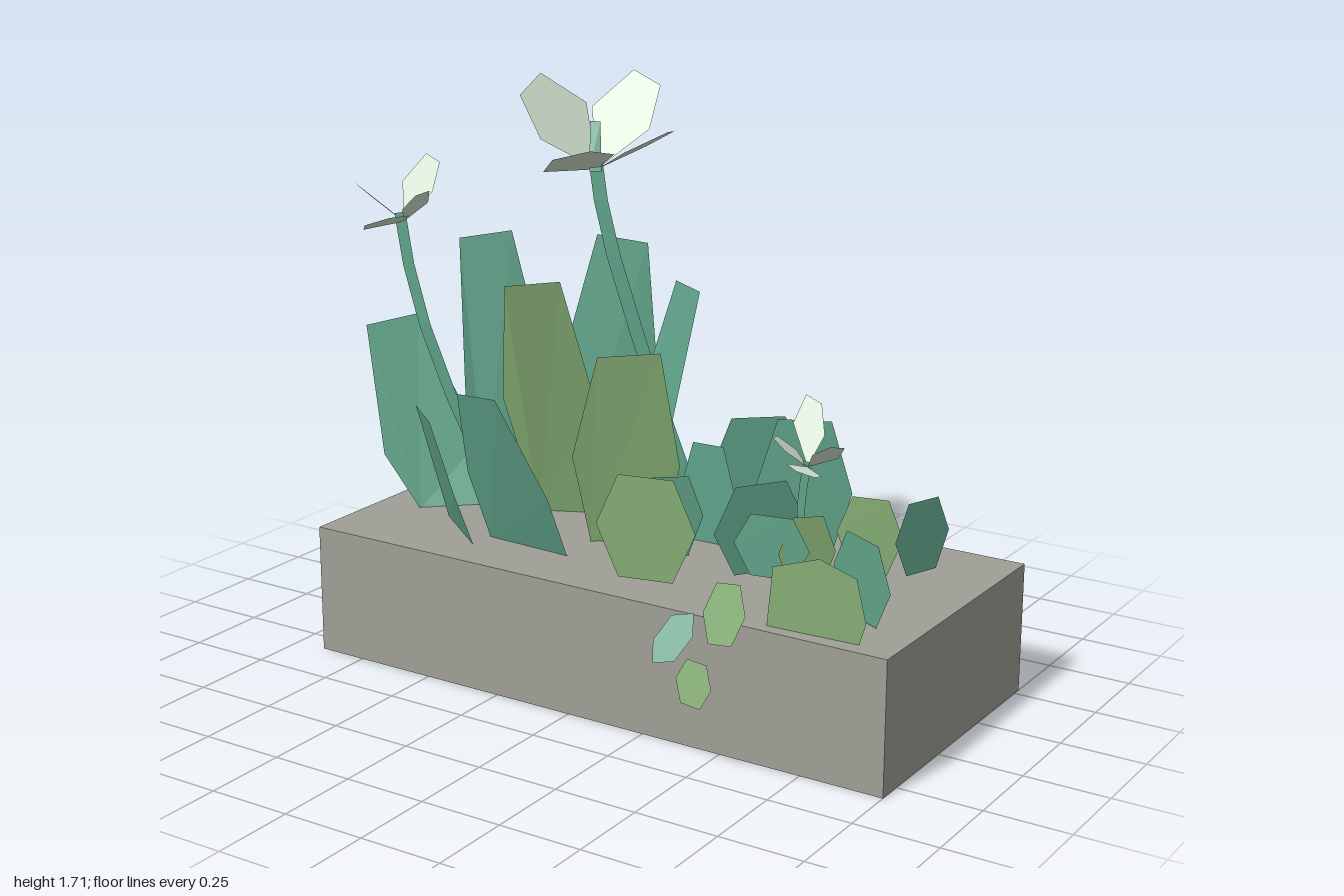
import * as THREE from 'three';

const paint = (name, color, side = THREE.DoubleSide) => {
  const m = new THREE.MeshStandardMaterial({ color, side });
  m.name = name;
  return m;
};

export function createModel() {
  const group = new THREE.Group();
  const stone = paint('stone grey', 0x9f9f97, THREE.FrontSide);
  const teal = paint('teal green', 0x60a389);
  const olive = paint('olive green', 0x85ad74);
  const white = paint('pale petal', 0xd9e8d5);

  // Flat polygon drawn as a fan of triangles
  const plate = (name, points, material, parent = group) => {
    const pos = [];
    for (let i = 1; i < points.length - 1; i++) pos.push(...points[0], ...points[i], ...points[i + 1]);
    const geo = new THREE.BufferGeometry();
    geo.setAttribute('position', new THREE.Float32BufferAttribute(pos, 3));
    geo.computeVertexNormals();
    const mesh = new THREE.Mesh(geo, material);
    mesh.name = name;
    parent.add(mesh);
  };
  // c + a * u + b * v
  const at = (c, u, a, v, b) => c.map((n, i) => n + a * u[i] + b * v[i]);

  // Planter block
  const box = new THREE.Mesh(new THREE.BoxGeometry(1.9, 0.39, 0.855), stone);
  box.name = 'planter';
  box.position.set(0.05, 0.195, -0.1);
  group.add(box);

  // Tall blades: base left, base right, middle right, top right, top left, middle left
  const blade = (material, ...points) => plate('tallLeaf', points, material);
  blade(teal, [-0.757, 0.385, 0.02], [-0.604, 0.385, -0.118], [-0.68, 0.57, -0.187],
    [-0.91, 0.94, -0.18], [-1, 0.92, -0.043], [-0.87, 0.55, 0.048]);
  blade(teal, [-0.74, 0.385, -0.29], [-0.524, 0.385, -0.4], [-0.58, 0.68, -0.435],
    [-0.71, 1.185, -0.41], [-0.85, 1.16, -0.325], [-0.8, 0.65, -0.275]);
  blade(teal, [-0.46, 0.385, -0.365], [-0.255, 0.385, -0.41], [-0.195, 0.84, -0.44],
    [-0.22, 1.2, -0.43], [-0.39, 1.21, -0.41], [-0.49, 0.86, -0.39]);
  blade(teal, [-0.2, 0.385, -0.25], [-0.09, 0.385, -0.17], [0, 0.7, -0.21],
    [0.022, 1.1, -0.335], [-0.113, 1.1, -0.42], [-0.19, 0.78, -0.36]);
  blade(olive, [-0.44, 0.385, -0.16], [-0.29, 0.385, -0.23], [-0.25, 0.75, -0.19],
    [-0.31, 1.135, -0.095], [-0.45, 1.12, -0.01], [-0.51, 0.75, -0.08]);
  blade(olive, [-0.147, 0.385, -0.01], [0.013, 0.385, -0.145], [0.056, 0.61, -0.175],
    [0.01, 0.955, -0.14], [-0.13, 0.95, -0.02], [-0.185, 0.655, 0.03]);
  blade(teal, [-0.42, 0.385, 0.115], [-0.135, 0.385, 0.13], [-0.16, 0.57, 0.19],
    [-0.28, 0.87, 0.275], [-0.44, 0.855, 0.24], [-0.46, 0.6, 0.17]);
  blade(teal, [-0.64, 0.385, 0.03], [-0.42, 0.385, 0.2], [-0.45, 0.55, 0.25],
    [-0.53, 0.76, 0.255], [-0.67, 0.76, 0.14], [-0.66, 0.55, 0.07]);

  // Small six-sided leaves: centre, half width, half height
  const hexLeaf = (name, material, c, h, v) => plate(name, [
    at(c, h, -1, v, 0), at(c, h, -0.55, v, -1), at(c, h, 0.55, v, -1),
    at(c, h, 1, v, 0), at(c, h, 0.55, v, 1), at(c, h, -0.55, v, 1),
  ], material);
  const up = (n) => [0, n, 0];
  const low = (material, c, h, v) => hexLeaf('lowLeaf', material, c, h, up(v));
  low(olive, [0.19, 0.56, 0.22], [0.145, 0, -0.03], 0.15);
  low(teal, [0.235, 0.585, -0.32], [0.11, 0, -0.095], 0.17);
  low(teal, [0.115, 0.51, -0.03], [0.075, 0, -0.058], 0.12);
  low(teal, [0.143, 0.54, -0.19], [0.092, 0, -0.003], 0.15);
  low(teal, [0.452, 0.6, -0.205], [0.128, 0, -0.055], 0.21);
  low(teal, [0.41, 0.53, -0.035], [0.08, 0, -0.12], 0.13);
  low(teal, [0.495, 0.515, 0.05], [0.11, 0, -0.02], 0.09);
  low(teal, [0.815, 0.51, 0.125], [0.12, 0, 0.065], 0.115);
  low(teal, [0.835, 0.54, -0.195], [0.035, 0, -0.095], 0.105);
  low(olive, [0.685, 0.52, -0.17], [0.095, 0, -0.018], 0.11);
  low(olive, [0.58, 0.5, 0], [0.06, 0, -0.055], 0.105);
  plate('lowLeaf', [[0.62, 0.39, 0.29], [0.89, 0.385, 0.278], [0.91, 0.45, 0.276],
    [0.88, 0.57, 0.276], [0.77, 0.605, 0.28], [0.635, 0.56, 0.288]], olive);

  // Leaves trailing over the front edge
  hexLeaf('trailingLeaf', teal, [0.432, 0.37, 0.46], [0.055, 0.012, -0.012], [0.01, 0.06, -0.032]);
  hexLeaf('trailingLeaf', olive, [0.562, 0.45, 0.415], [0.07, 0.01, 0.008], [-0.006, 0.075, -0.032]);
  hexLeaf('trailingLeaf', olive, [0.52, 0.272, 0.498], [0.055, -0.006, 0], [0, 0.057, -0.016]);

  // Flat curved stem, following a path with its width in the x-y plane
  const stem = (points, width) => {
    const curve = new THREE.CatmullRomCurve3(points.map((p) => new THREE.Vector3(...p)));
    const part = new THREE.Group();
    part.name = 'stem';
    const edge = (t) => {
      const p = curve.getPoint(t), d = curve.getTangent(t);
      const s = new THREE.Vector3(d.y, -d.x, 0).setLength(width / 2);
      return [p.clone().sub(s).toArray(), p.clone().add(s).toArray()];
    };
    for (let i = 0; i < 6; i++) {
      const [a, b] = edge(i / 6), [c, d] = edge((i + 1) / 6);
      plate('stemSegment', [a, b, d, c], teal, part);
    }
    group.add(part);
  };
  stem([[0, 0.385, -0.39], [-0.1, 0.65, -0.36], [-0.2, 0.95, -0.335], [-0.3, 1.28, -0.315], [-0.33, 1.45, -0.315]], 0.05);
  stem([[-0.33, 0.385, 0.04], [-0.47, 0.6, 0.08], [-0.57, 0.8, 0.1], [-0.68, 1.1, 0.118], [-0.73, 1.33, 0.115]], 0.042);
  stem([[0.6, 0.385, -0.02], [0.565, 0.5, -0.015], [0.552, 0.62, -0.01], [0.57, 0.76, -0.01]], 0.025);
  plate('pistil', [[-0.33, 1.43, -0.28], [-0.3, 1.43, -0.3], [-0.33, 1.57, -0.34], [-0.36, 1.57, -0.33]], teal);

  // Flowers: each petal is a pentagon given by its length and half-width vectors
  const flower = (c, petals) => {
    const part = new THREE.Group();
    part.name = 'flower';
    for (const [d, s] of petals) {
      plate('petal', [c, at(c, d, 0.5, s, 1), at(c, d, 0.95, s, 0.75),
        at(c, d, 1.05, s, -0.25), at(c, d, 0.6, s, -1)], white, part);
    }
    group.add(part);
  };
  flower([-0.33, 1.43, -0.32], [
    [[-0.2, 0.25, 0.02], [0.01, -0.02, 0.15]],
    [[0.04, 0.26, -0.17], [0.11, -0.01, 0]],
    [[0.21, 0.12, -0.06], [-0.04, -0.01, -0.14]],
    [[0.03, 0.07, 0.22], [0.12, 0.04, 0]],
  ]);
  flower([-0.73, 1.3, 0.1], [
    [[-0.16, 0.08, -0.01], [0, 0.04, 0.06]],
    [[0.03, 0.18, -0.09], [0.06, 0, 0]],
    [[0.1, 0.1, 0.02], [0.02, 0.01, 0.08]],
    [[0.0, 0.02, 0.145], [0.08, 0.03, 0]],
  ]);
  flower([0.57, 0.745, -0.01], [
    [[-0.04, 0.17, -0.08], [0.05, 0, 0]],
    [[-0.08, 0.08, 0.03], [0.01, 0.02, 0.06]],
    [[0.1, 0.07, 0], [0, 0.025, 0.065]],
    [[0.04, 0.02, 0.11], [0.055, -0.01, 0]],
  ]);
  return group;
}
